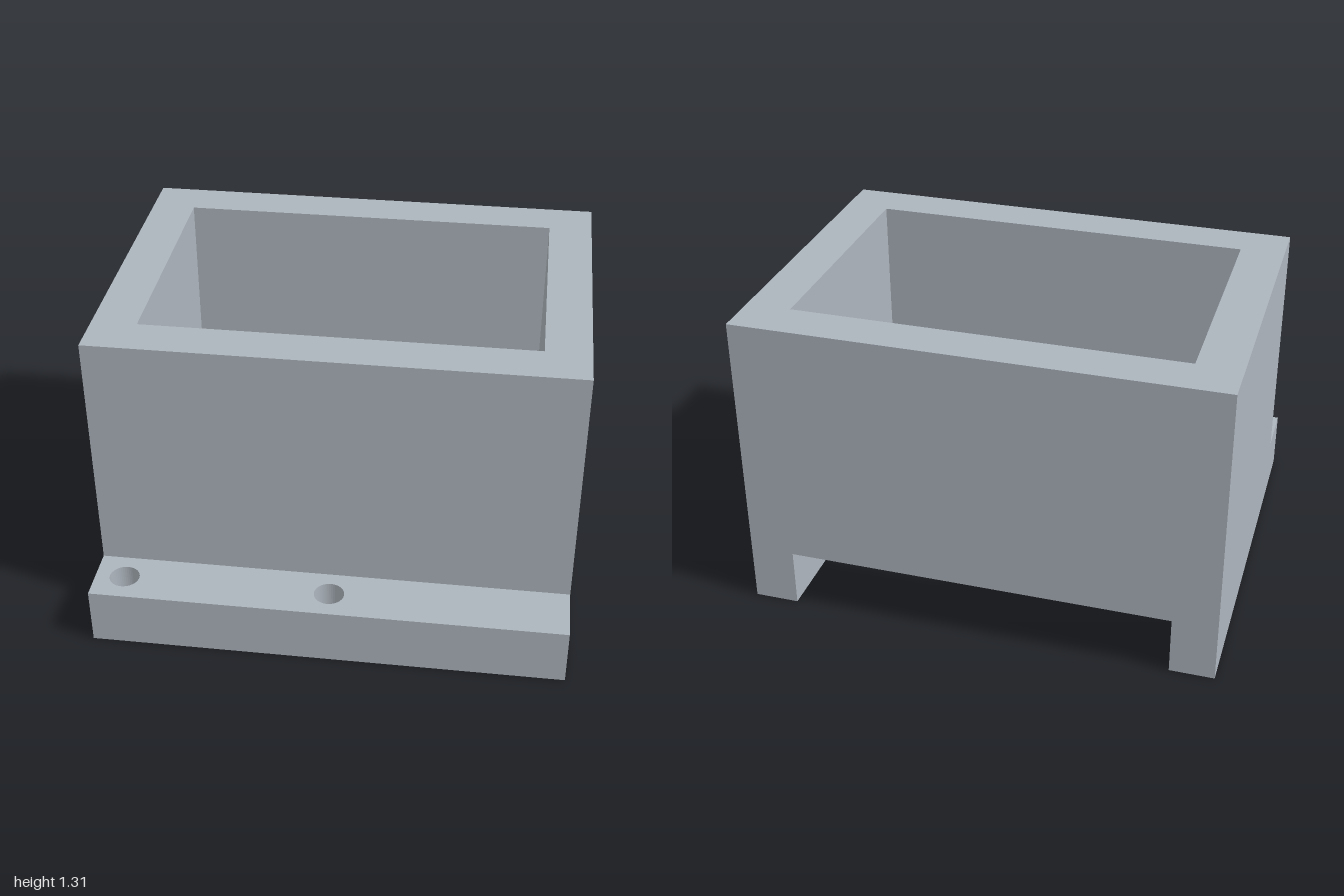
import * as THREE from 'three';

// Rectangle as plan points (x, z), mapped to shape space (x, -z)
const plan = (points) => points.map(([x, z]) => new THREE.Vector2(x, -z));

const W = 1, BACK = -0.844, FRONT = 0.844; // outer footprint
const WALL = 0.594;                        // front face of the tall body
const INNER = 0.8125;                      // half width of the opening
const BASE = 0.25, TOP = 1.3125;

// Extrude a plan shape upward between two heights
function slab(name, shape, y0, y1, material) {
  const geometry = new THREE.ExtrudeGeometry(shape, { depth: y1 - y0, bevelEnabled: false, curveSegments: 24 });
  geometry.rotateX(-Math.PI / 2);
  geometry.translate(0, y0, 0);
  const mesh = new THREE.Mesh(geometry, material);
  mesh.name = name;
  return mesh;
}

export function createModel() {
  const group = new THREE.Group();
  group.name = 'mountingHousing';
  const grey = new THREE.MeshStandardMaterial({ color: 0xadb5bd });
  grey.name = 'blue grey';

  // U-shaped base: two legs open to the back, joined by the front flange
  const base = new THREE.Shape(plan([
    [-W, FRONT], [W, FRONT], [W, BACK], [INNER, BACK],
    [INNER, 0.5625], [-INNER, 0.5625], [-INNER, BACK], [-W, BACK],
  ]));
  // Screw holes in the flange
  for (const x of [-0.875, 0]) {
    base.holes.push(new THREE.Path().absarc(x, -0.718, 0.0635, 0, Math.PI * 2, true));
  }
  group.add(slab('baseWithFlange', base, 0, BASE, grey));

  // Tall rectangular frame with a through opening
  const frame = new THREE.Shape(plan([[-W, WALL], [W, WALL], [W, BACK], [-W, BACK]]));
  frame.holes.push(new THREE.Path(plan([
    [-INNER, 0.406], [-INNER, -0.656], [INNER, -0.656], [INNER, 0.406],
  ])));
  group.add(slab('bodyFrame', frame, BASE, TOP, grey));

  return group;
}
